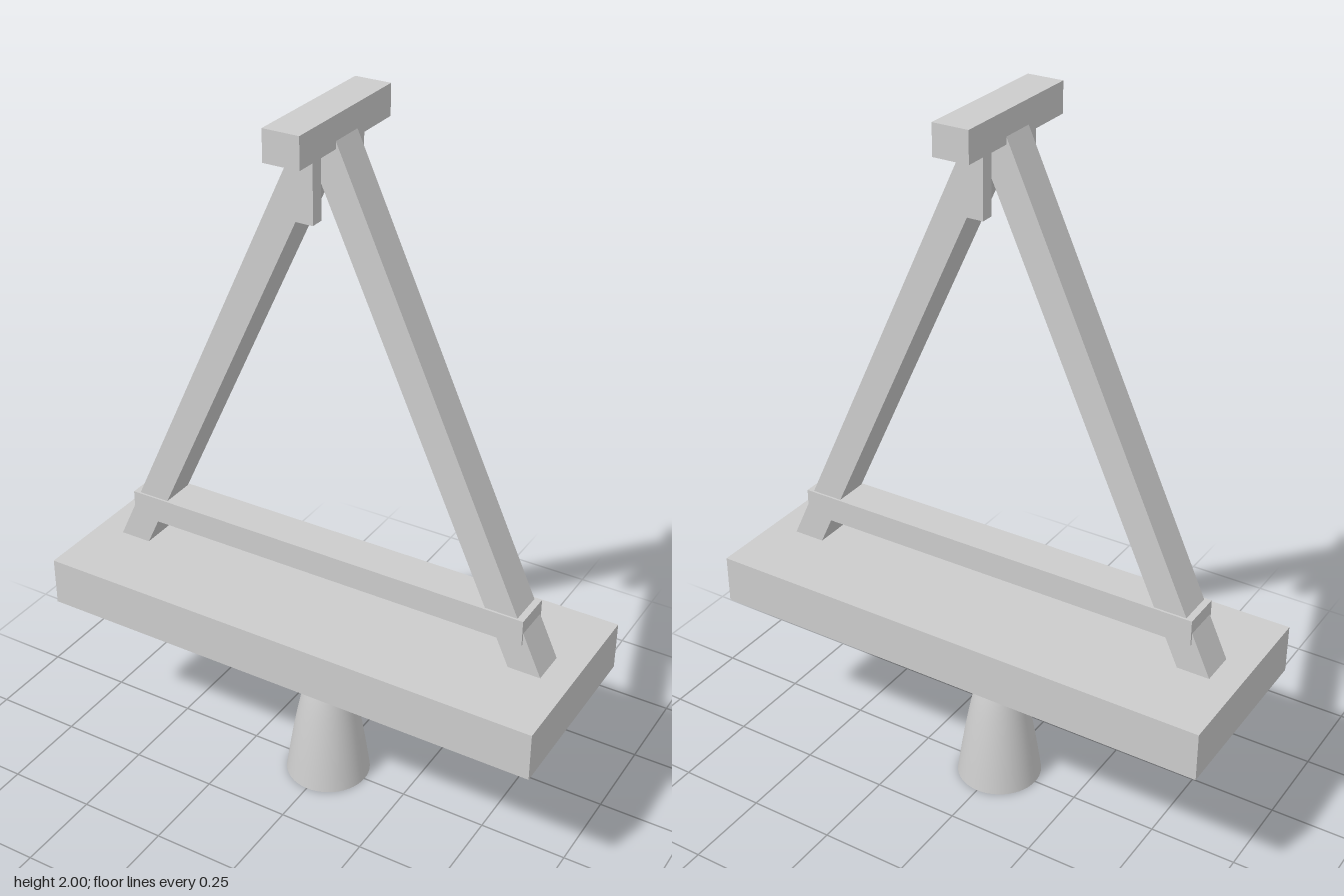
import * as THREE from 'three';

export function createModel() {
  const model = new THREE.Group();
  const grey = new THREE.MeshStandardMaterial({ color: 0xcccccc });
  grey.name = 'light grey';

  const add = (name, geometry, x = 0, y = 0, z = 0) => {
    const mesh = new THREE.Mesh(geometry, grey);
    mesh.name = name;
    mesh.position.set(x, y, z);
    model.add(mesh);
    return mesh;
  };
  const box = (name, w, y0, y1, d, x = 0, z = 0) =>
    add(name, new THREE.BoxGeometry(w, y1 - y0, d), x, (y0 + y1) / 2, z);

  // Base slab, rail across the legs and beam on the apex
  box('baseSlab', 1.48, 0.475, 0.615, 0.535);
  box('crossRail', 1.21, 0.7, 0.775, 0.112);
  box('topBeam', 0.1, 1.917, 2, 0.42);

  // Pegs under the beam, in front of and behind the apex
  for (const s of [-1, 1]) box('beamPeg', 0.058, 1.745, 1.92, 0.038, 0, s * 0.1);

  // Slanted legs meeting below the beam
  for (const s of [-1, 1]) {
    const outline = new THREE.Shape([
      [0.665, 0.605], [0.573, 0.605], [-0.046, 1.945], [0.046, 1.945],
    ].map(([x, y]) => new THREE.Vector2(s * x, y)));
    const geometry = new THREE.ExtrudeGeometry(outline, { depth: 0.1, bevelEnabled: false });
    geometry.translate(0, 0, -0.05);
    add(s > 0 ? 'leftLeg' : 'rightLeg', geometry);
  }

  // Hanger: mounting strip, hooked arms and stem
  box('hangerStrip', 0.03, 0.462, 0.476, 0.16);
  box('hangerBlock', 0.055, 0.453, 0.476, 0.05);
  box('hangerStem', 0.028, 0.35, 0.455, 0.05);
  const hook = new THREE.CatmullRomCurve3([
    [-0.042, 0.452], [-0.033, 0.428], [0, 0.416], [0.033, 0.428], [0.042, 0.452],
  ].map(([x, y]) => new THREE.Vector3(x, y, 0)));
  add('hangerHook', new THREE.TubeGeometry(hook, 16, 0.007, 8));
  for (const s of [-1, 1]) {
    const arm = box('hangerArm', 0.04, 0.446, 0.458, 0.024, s * 0.026);
    arm.rotation.z = -s * 0.2;
  }

  // Hollow bell: inner wall, rim, outer wall and crown
  const profile = (points) => points.map(([r, y]) => new THREE.Vector2(r, y));
  const outer = new THREE.SplineCurve(profile([
    [0.121, 0], [0.108, 0.09], [0.093, 0.18], [0.077, 0.26], [0.061, 0.32], [0.05, 0.345], [0.037, 0.355],
  ])).getPoints(24);
  const inner = new THREE.SplineCurve(profile([
    [0.001, 0.335], [0.035, 0.33], [0.062, 0.26], [0.078, 0.18], [0.092, 0.09], [0.1, 0],
  ])).getPoints(20);
  add('bellOuter', new THREE.LatheGeometry(outer, 48));
  add('bellInner', new THREE.LatheGeometry(inner, 48));
  add('bellRim', new THREE.LatheGeometry(profile([[0.1, 0], [0.121, 0]]), 48));
  add('bellCrown', new THREE.LatheGeometry(profile([[0.037, 0.355], [0, 0.355]]), 48));

  return model;
}
